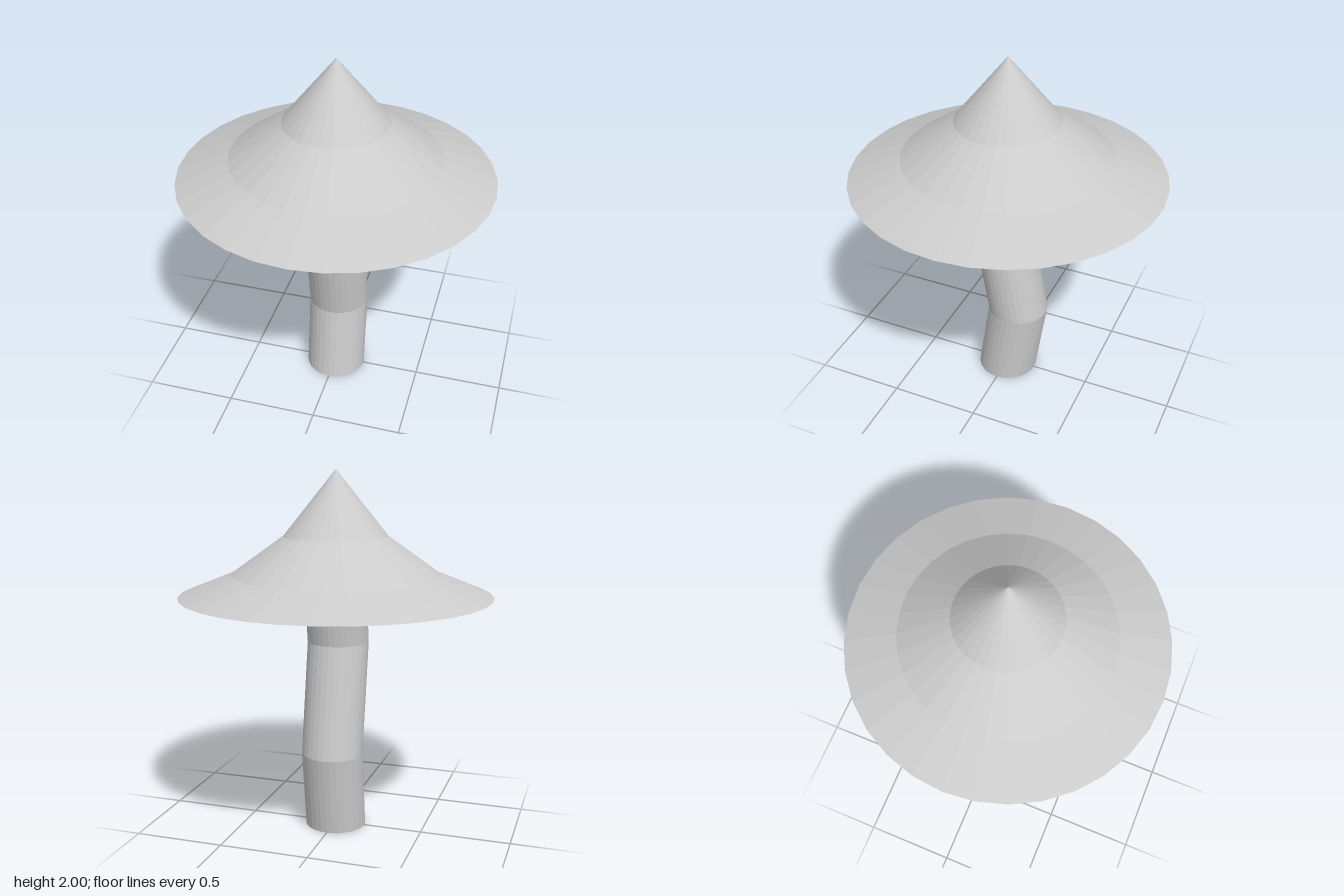
import * as THREE from 'three';

const SIDES = 32;

export function createModel() {
  const model = new THREE.Group();
  const material = new THREE.MeshStandardMaterial({ color: 0xcccccc, flatShading: true });

  // Pointed cap with a flared brim and a flat underside
  const profile = [[0, 1.325], [0.855, 1.325], [0.57, 1.44], [0.285, 1.645], [0, 2]];
  const cap = new THREE.Mesh(
    new THREE.LatheGeometry(profile.map(([r, y]) => new THREE.Vector2(r, y)), SIDES),
    material
  );
  cap.name = 'cap';
  model.add(cap);

  // Crooked stem: each ring of a cylinder is moved to its own height and z offset
  const rings = [[0, 0], [0.445, -0.065], [1.06, 0.045], [1.325, 0]];
  const last = rings.length - 1;
  const stemGeometry = new THREE.CylinderGeometry(0.17, 0.17, last, SIDES, last);
  const position = stemGeometry.attributes.position;
  for (let i = 0; i < position.count; i++) {
    const [y, z] = rings[Math.round(position.getY(i) + last / 2)];
    position.setY(i, y);
    position.setZ(i, position.getZ(i) + z);
  }
  stemGeometry.computeVertexNormals();
  const stem = new THREE.Mesh(stemGeometry, material);
  stem.name = 'stem';
  model.add(stem);

  return model;
}
